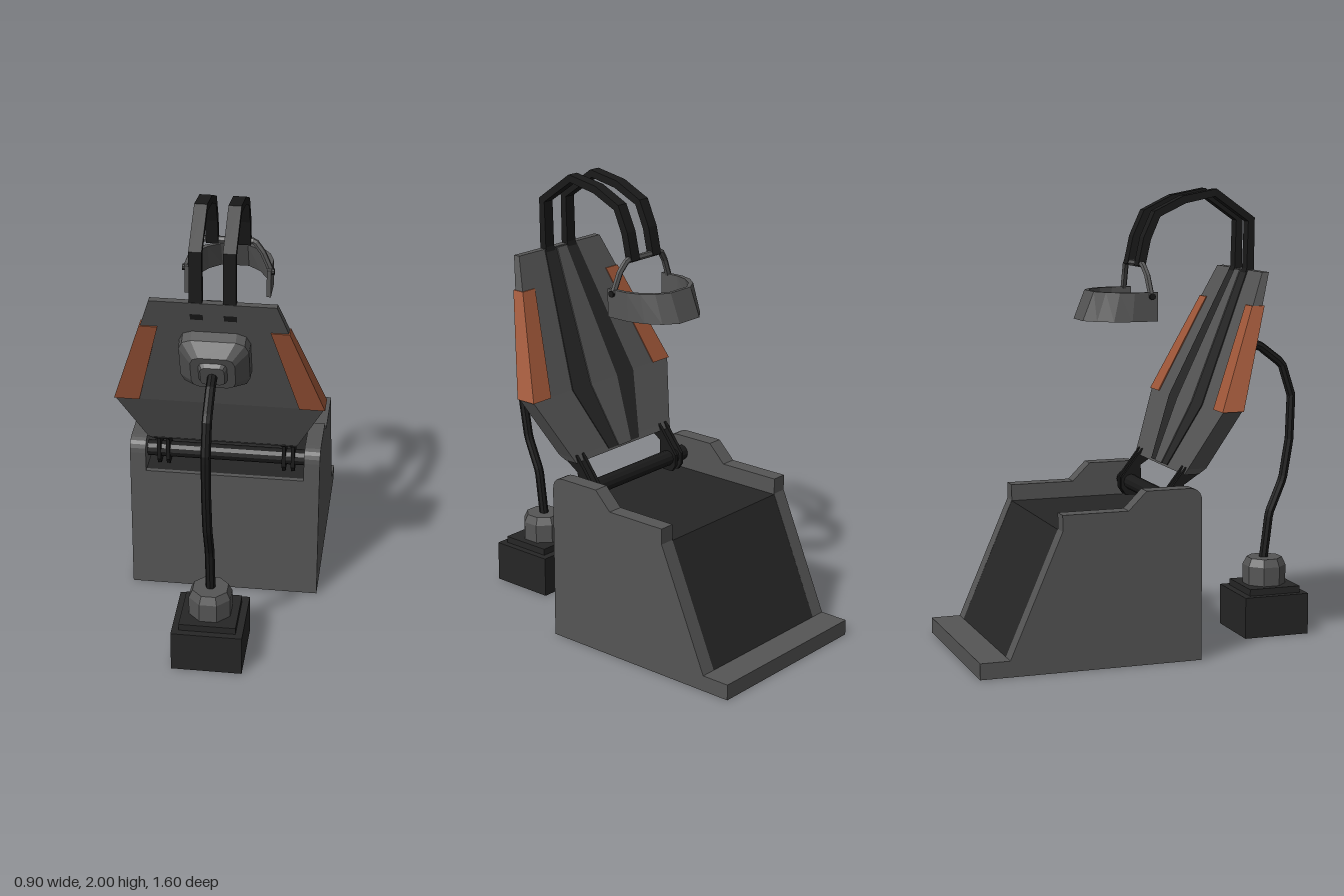
import * as THREE from 'three';

const mat = (color) => new THREE.MeshStandardMaterial({ color, flatShading: true });
const grey = mat(0x555555), dark = mat(0x262626), black = mat(0x1a1a1a), orange = mat(0xa3593a);

export function createModel() {
  const model = new THREE.Group();

  const add = (name, geometry, material, parent = model) => {
    const mesh = new THREE.Mesh(geometry, material);
    mesh.name = name;
    parent.add(mesh);
    return mesh;
  };
  const box = (name, x, y, z, w, h, d, material) =>
    add(name, new THREE.BoxGeometry(w, h, d), material).position.set(x, y, z);

  // Extrudes a (z, y) outline across x
  const slice = (shape, x, width) => {
    const g = new THREE.ExtrudeGeometry(shape, { depth: width, bevelEnabled: false, curveSegments: 5 });
    return g.rotateY(-Math.PI / 2).translate(x + width / 2, 0, 0);
  };
  const outline = (pts) => new THREE.Shape(pts.map((p) => new THREE.Vector2(...p)));

  // Skins equal-length convex rings and caps both ends
  const loft = (rings) => {
    const pos = [];
    const tri = (...p) => p.forEach((v) => pos.push(...v));
    const n = rings[0].length, end = rings[rings.length - 1];
    for (let r = 0; r < rings.length - 1; r++)
      for (let i = 0; i < n; i++) {
        const j = (i + 1) % n, a = rings[r], b = rings[r + 1];
        tri(a[i], a[j], b[j]);
        tri(a[i], b[j], b[i]);
      }
    for (let i = 1; i < n - 1; i++) {
      tri(rings[0][0], rings[0][i + 1], rings[0][i]);
      tri(end[0], end[i], end[i + 1]);
    }
    const g = new THREE.BufferGeometry();
    g.setAttribute('position', new THREE.Float32BufferAttribute(pos, 3));
    g.computeVertexNormals();
    return g;
  };
  // Horizontal ring from x and z limits
  const level = (y, x0, x1, z0, z1) => [[x1, y, z1], [x1, y, z0], [x0, y, z0], [x0, y, z1]];

  // Straight-jointed round tube
  const polyTube = (pts, radius, sides) => {
    const path = new THREE.CurvePath();
    const v = pts.map((p) => new THREE.Vector3(...p));
    for (let i = 1; i < v.length; i++) path.add(new THREE.LineCurve3(v[i - 1], v[i]));
    return new THREE.TubeGeometry(path, 40, radius, sides);
  };

  // Seat base: side walls, body, back panel and front lip
  const wall = new THREE.Shape();
  wall.moveTo(0.18, 0);
  wall.lineTo(0.18, 0.69);
  wall.quadraticCurveTo(0.18, 0.75, 0.12, 0.75);
  [[-0.07, 0.75], [-0.15, 0.67], [-0.44, 0.67], [-0.44, 0.6], [-0.67, 0.07], [-0.8, 0.07], [-0.8, 0]]
    .forEach((p) => wall.lineTo(...p));
  for (const s of [-1, 1]) add('baseSideWall', slice(wall, s * 0.385, 0.07), grey);
  const body = outline([[0.16, 0], [0.16, 0.597], [-0.44, 0.597], [-0.67, 0.07], [-0.67, 0]]);
  add('seatBody', slice(body, 0, 0.7), dark);
  box('baseBackPanel', 0, 0.3, 0.17, 0.7, 0.6, 0.02, grey);
  box('baseFrontLip', 0, 0.035, -0.735, 0.7, 0.07, 0.13, grey);

  // Hinge rod with paired plates
  const rod = new THREE.CylinderGeometry(0.035, 0.035, 0.7, 12).rotateZ(Math.PI / 2);
  add('hingeRod', rod, black).position.set(0, 0.67, 0.095);
  const plate = outline([[0.21, 0.82], [0.21, 0.79], [0.14, 0.745], [0.14, 0.64], [0.12, 0.61],
    [0.07, 0.61], [0.05, 0.64], [0.05, 0.69], [0.15, 0.82]]);
  for (const x of [-0.297, -0.257, 0.257, 0.297]) add('hingePlate', slice(plate, x, 0.016), black);

  // Tilted backrest, thinner towards the top
  add('backrest', loft([
    level(0.79, -0.315, 0.315, 0.138, 0.205),
    level(0.815, -0.325, 0.325, 0.15, 0.235),
    level(1.07, -0.443, 0.443, 0.265, 0.35),
    level(1.645, -0.26, 0.26, 0.515, 0.546),
  ]), grey);

  // Seat-side padding and raised centre strip
  const padding = (name, widths, lift, material) => add(name, loft([0.8, 1.07, 1.642].map((y, i) => {
    const z = [0.143, 0.265, 0.514][i];
    return level(y, -widths[i], widths[i], z - lift, z + 0.01);
  })), material);
  padding('backPadding', [0.1, 0.2, 0.1], 0.005, dark);
  padding('centreStrip', [0.04, 0.085, 0.03], 0.01, grey);

  // Coloured side bolsters wrapping the backrest edges
  for (const s of [-1, 1]) {
    const ring = (y, a, b, z0, z1) => level(y, Math.min(s * a, s * b), Math.max(s * a, s * b), z0, z1);
    add('sideBolster', loft([
      ring(1.07, 0.34, 0.449, 0.259, 0.356),
      ring(1.505, 0.232, 0.309, 0.449, 0.506),
    ]), orange);
  }

  // Stepped cable socket on the rear face
  const socket = new THREE.Group();
  socket.name = 'cableSocket';
  socket.position.set(0, 1.36, 0.45);
  socket.rotation.x = 0.34;
  model.add(socket);
  const rounded = (w, h, z) => {
    const c = 0.4 * Math.min(w, h), m = 0.12 * Math.min(w, h);
    return [[w, h - c], [w - m, h - m], [w - c, h], [c - w, h], [m - w, h - m], [-w, h - c],
      [-w, c - h], [m - w, m - h], [c - w, -h], [w - c, -h], [w - m, m - h], [w, c - h]].map(([x, y]) => [x, y, z]);
  };
  add('socketHousing', loft([rounded(0.148, 0.138, -0.02), rounded(0.145, 0.132, 0.045),
    rounded(0.092, 0.088, 0.1)]), grey, socket);
  add('socketCap', loft([rounded(0.065, 0.065, 0.09), rounded(0.05, 0.05, 0.118)]), grey, socket);

  // Cable down to the floor box
  add('cable', polyTube([[0, 1.325, 0.54], [0, 1.295, 0.62], [0, 1.215, 0.725], [0, 1.07, 0.772],
    [0, 0.87, 0.765], [0, 0.69, 0.735], [0, 0.535, 0.67], [0, 0.32, 0.643]], 0.021, 8), black);
  box('floorBox', 0, 0.0925, 0.648, 0.306, 0.185, 0.304, dark);
  box('floorBoxLid', 0, 0.195, 0.65, 0.245, 0.04, 0.24, dark);
  const knob = new THREE.LatheGeometry(
    [[0, 0.2], [0.097, 0.2], [0.097, 0.3], [0.08, 0.335], [0, 0.335]].map((p) => new THREE.Vector2(...p)), 8)
    .rotateY(Math.PI / 8);
  add('cableConnector', knob, grey).position.z = 0.648;

  // Twin overhead arms: a mitred strip along a (z, y) path
  const arm = [[0.5, 1.56], [0.528, 1.65], [0.532, 1.865], [0.365, 1.983], [0.22, 1.955], [0.095, 1.895],
    [0.048, 1.79], [0.022, 1.67]].map((p) => new THREE.Vector2(...p));
  const edge = (half) => arm.map((p, i) => {
    const a = p.clone().sub(arm[Math.max(i - 1, 0)]).normalize();
    const b = arm[Math.min(i + 1, arm.length - 1)].clone().sub(p).normalize();
    const t = a.add(b).normalize();
    return new THREE.Vector2(p.x - t.y * half, p.y + t.x * half);
  });
  const armShape = new THREE.Shape([...edge(0.017), ...edge(-0.017).reverse()]);
  for (const s of [-1, 1]) add('overheadArm', slice(armShape, s * 0.069, 0.053), black);

  // Flared headband, open at the rear
  const half = [[0.185, 0.065], [0.185, -0.04], [0.165, -0.1], [0.125, -0.15], [0.065, -0.185]];
  const band = [...half, ...half.slice().reverse().map(([x, z]) => [-x, z])];
  add('headband', loft(band.map(([x, z]) => {
    const inner = [x * 0.9, z > 0 ? z : z + 0.016];
    const flare = z > 0 ? 0 : -0.05 * Math.min(1, -z / 0.185);
    return [[x, 1.44, z + flare], [inner[0], 1.44, inner[1] + flare],
      [inner[0], 1.565, inner[1]], [x, 1.565, z]];
  })), grey);

  // Bracket joining headband to the arms, with pivots
  add('headbandBracket', polyTube([[-0.182, 1.55, 0.035], [-0.145, 1.635, 0.03], [-0.11, 1.68, 0.022],
    [0.11, 1.68, 0.022], [0.145, 1.635, 0.03], [0.182, 1.55, 0.035]], 0.014, 6), grey);
  for (const s of [-1, 1]) {
    const pivot = new THREE.CylinderGeometry(0.014, 0.014, 0.03, 10).rotateZ(Math.PI / 2);
    add('headbandPivot', pivot, black).position.set(s * 0.182, 1.547, 0.037);
  }
  return model;
}
